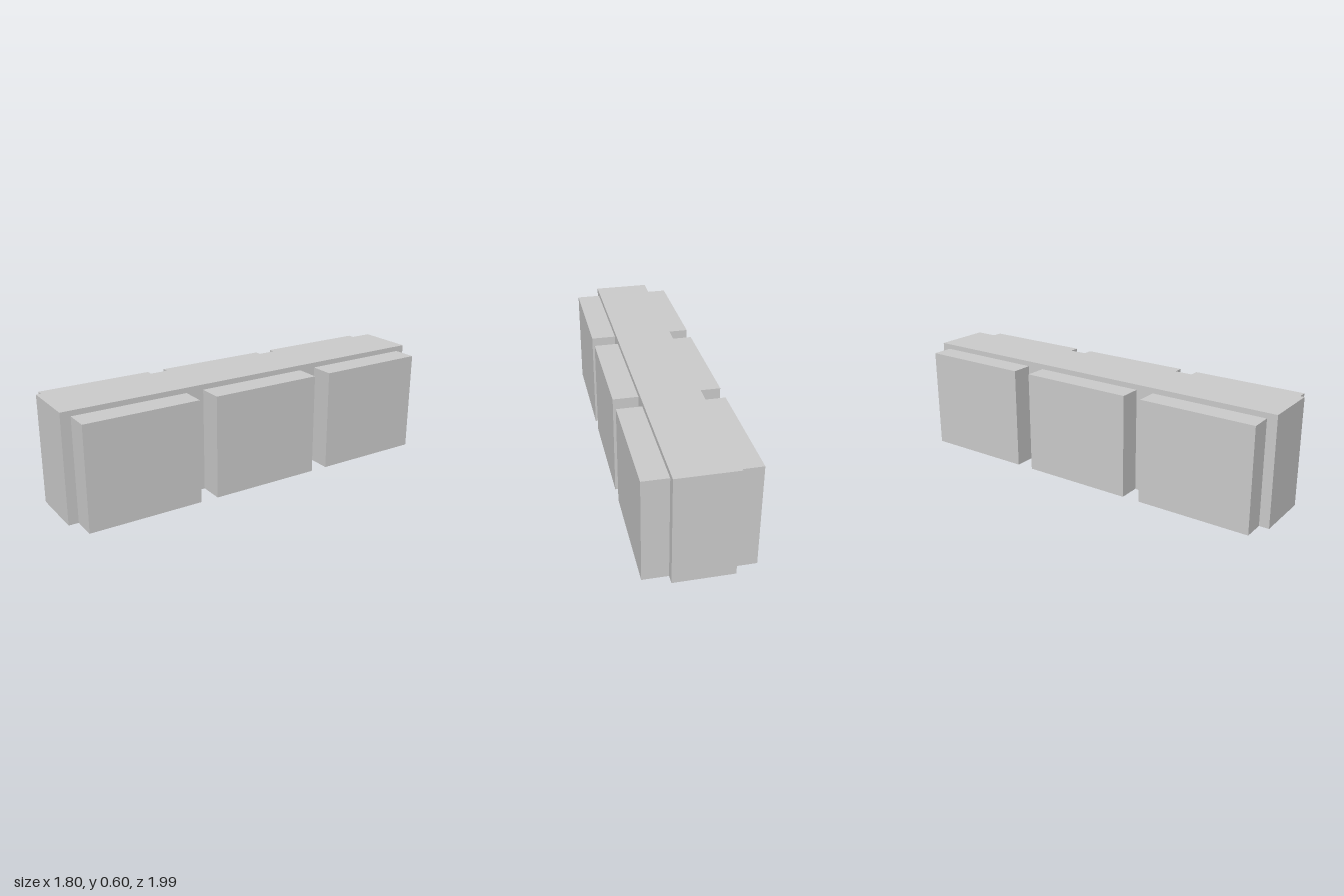
import * as THREE from 'three';

const material = new THREE.MeshStandardMaterial({ color: 0xcccccc, flatShading: true });

// Box standing on y = 0, spanning z0..z1
function block(name, length, height, z0, z1, x) {
  const mesh = new THREE.Mesh(new THREE.BoxGeometry(length, height, z1 - z0), material);
  mesh.name = name;
  mesh.position.set(x, height / 2, (z0 + z1) / 2);
  return mesh;
}

export function createModel() {
  const group = new THREE.Group();
  group.name = 'blockRow';

  // Long central body
  const back = -0.171, front = 0.149;
  group.add(block('centralBody', 2.222, 0.602, back, front, -0.002));

  // Three side blocks along each long face, slightly lower than the body
  for (let i = -1; i <= 1; i++) {
    const x = i * 0.739;
    group.add(block('sideBlockFront', 0.639, 0.573, front, 0.285, x));
    group.add(block('sideBlockBack', 0.639, 0.573, -0.292, back, x));
  }

  // The whole row stands diagonally
  group.rotation.y = THREE.MathUtils.degToRad(50);
  const model = new THREE.Group();
  model.name = 'model';
  model.add(group);
  return model;
}
